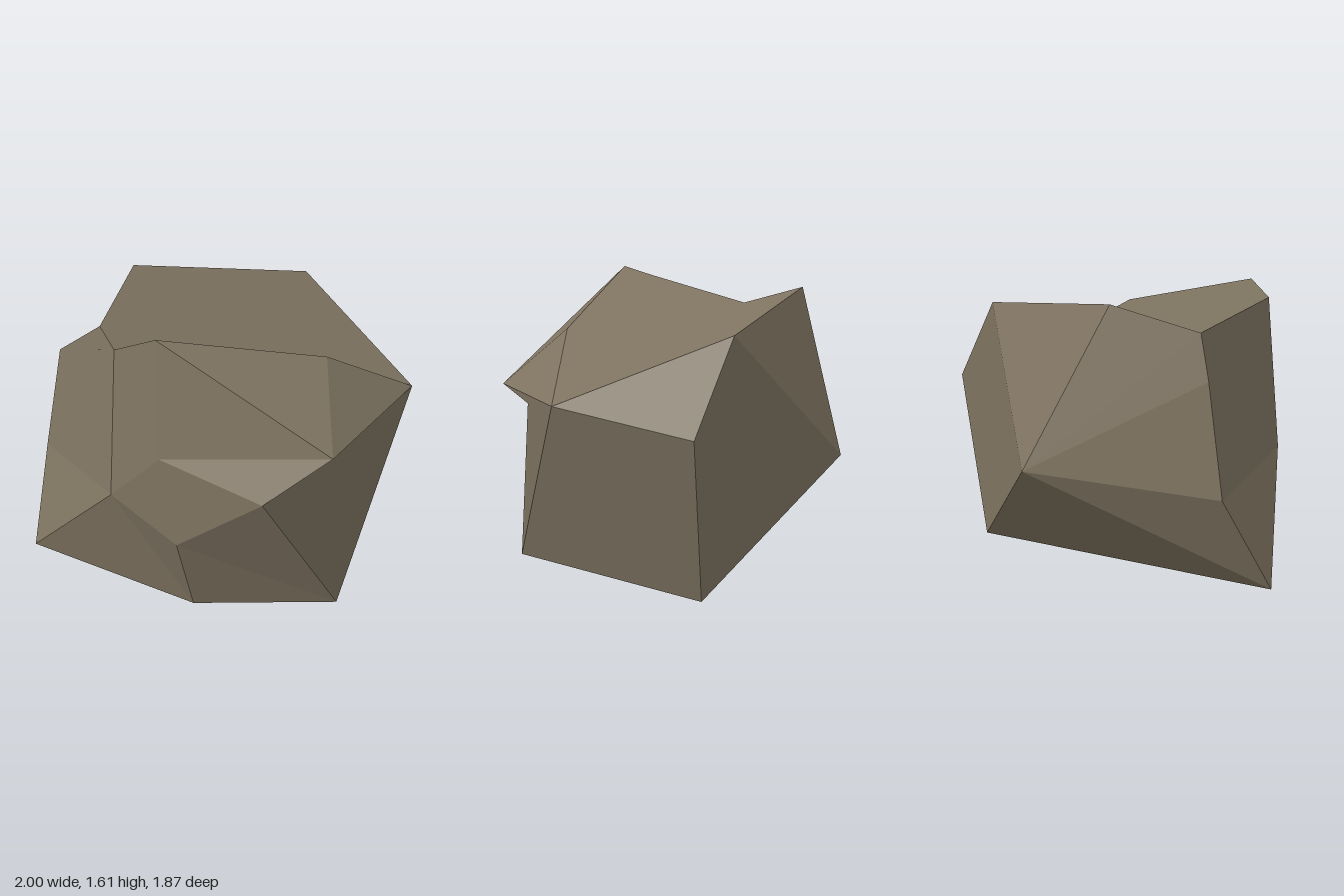
import * as THREE from 'three';

// Corner points of the boulder
const V = {
  // front rim, left to right
  A: [-1, 0.53, 0.5], C: [-0.915, 1.16, 0.43], D: [-0.62, 1.38, 0.42],
  E: [-0.19, 1.52, 0.86], F: [0.03, 1.605, 0.79], G: [0.7, 1.405, 0.12],
  H: [1, 1.1, -0.36], I: [0.96, 1.025, 0.5], J: [0.7, 0.8, 0.79],
  // front bulge
  K: [0.24, 0.47, 0.935], N: [-0.2, 0.65, 0.93], O: [0.13, 0.975, 0.925],
  // ground corners
  B: [-0.9, 0, 0.79], L: [0.25, 0, 0.79], M: [0.935, 0, 0.345], T: [0.315, 0, -0.795],
  // back
  P: [-0.735, 1.555, -0.085], Q: [0.085, 1.47, -0.73],
  R: [0.435, 0.98, -0.935], S: [-0.725, 0.64, -0.565],
};

// Each facet is a polygon, counter-clockwise from outside, fanned from its first corner
const PARTS = {
  frontFacets: ['EDCAN', 'ABN', 'BLN', 'NLK', 'KLM', 'KMJ', 'NKJO', 'OJI', 'NOFE', 'FOI'],
  rightFacets: ['JMHI', 'FIG', 'GIH'],
  topFacet: ['HQPDEFG'],
  backFacets: ['QHR', 'MTRH', 'QRTS', 'PQS'],
  leftFacets: ['SCDP', 'SAC', 'SBA', 'STB'],
};

// One flat normal for a whole polygon, from its area vector
function facetNormal(pts) {
  const n = new THREE.Vector3();
  pts.forEach((p, i) => n.add(p.clone().cross(pts[(i + 1) % pts.length])));
  return n.normalize();
}

function facets(names, normal) {
  const pos = [], nor = [];
  for (const name of names) {
    const pts = [...name].map((k) => new THREE.Vector3(...V[k]));
    const n = normal || facetNormal(pts);
    for (let i = 1; i < pts.length - 1; i++) {
      for (const p of [pts[0], pts[i], pts[i + 1]]) {
        pos.push(p.x, p.y, p.z);
        nor.push(n.x, n.y, n.z);
      }
    }
  }
  const g = new THREE.BufferGeometry();
  g.setAttribute('position', new THREE.Float32BufferAttribute(pos, 3));
  g.setAttribute('normal', new THREE.Float32BufferAttribute(nor, 3));
  return g;
}

export function createModel() {
  const rock = new THREE.Group();
  rock.name = 'boulder';
  // Thin open shell without an underside, so both sides show
  const stone = new THREE.MeshStandardMaterial({ color: 0x7f7461, side: THREE.DoubleSide });
  stone.name = 'stone';
  // The broad dished top reads as one plane tilted slightly to the back
  const topNormal = new THREE.Vector3(0.17, 0.95, -0.24).normalize();

  for (const [name, list] of Object.entries(PARTS)) {
    const mesh = new THREE.Mesh(facets(list, name === 'topFacet' ? topNormal : null), stone);
    mesh.name = name;
    rock.add(mesh);
  }
  return rock;
}
